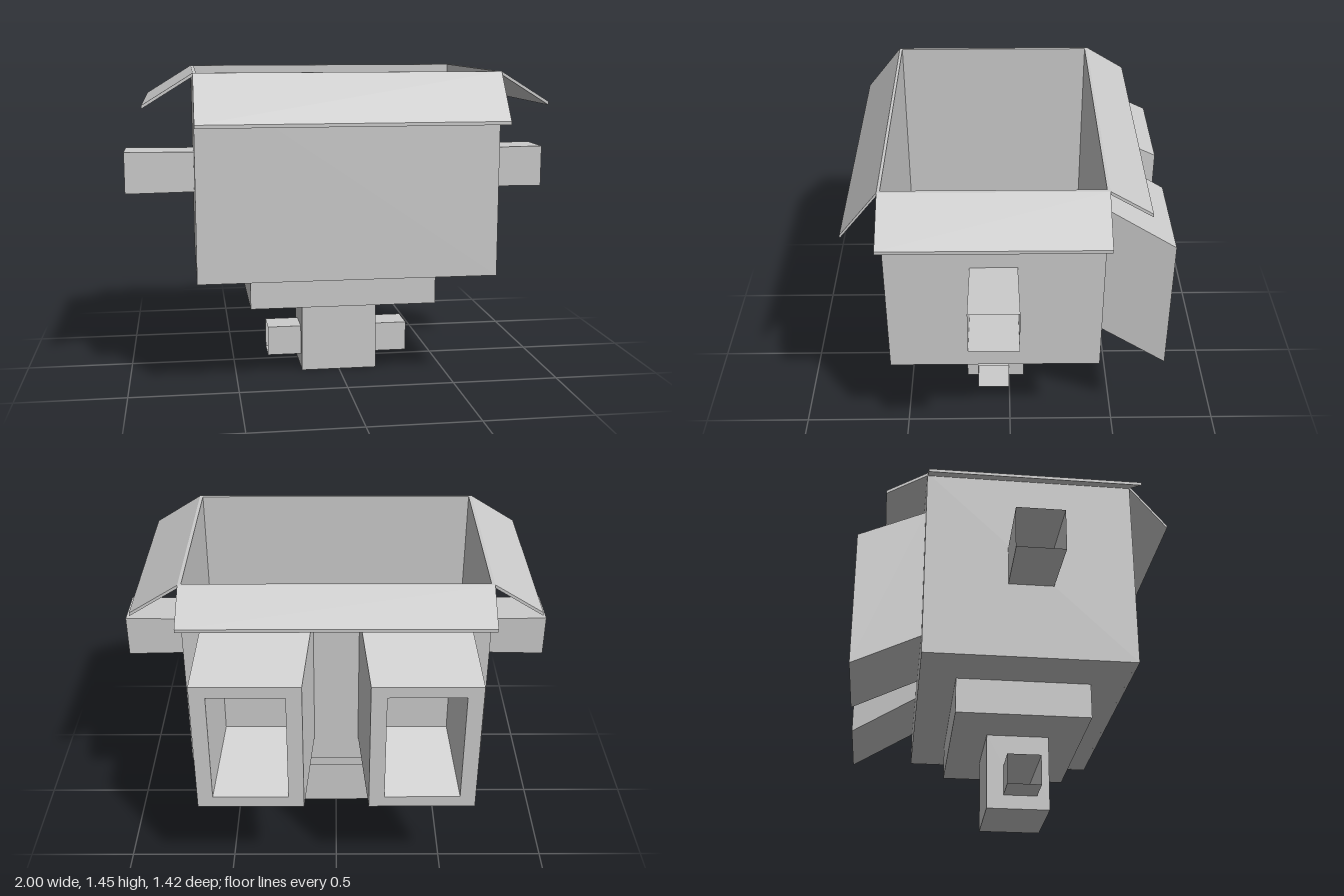
import * as THREE from 'three';

const material = new THREE.MeshStandardMaterial({ color: 0xcccccc, flatShading: true, side: THREE.DoubleSide });

function add(parent, name, geometry, x = 0, y = 0, z = 0) {
  const mesh = new THREE.Mesh(geometry, material);
  mesh.name = name;
  mesh.position.set(x, y, z);
  parent.add(mesh);
  return mesh;
}

// Closed rectangle outline from corner to corner
function rect(Type, x0, y0, x1, y1) {
  return new Type().moveTo(x0, y0).lineTo(x1, y0).lineTo(x1, y1).lineTo(x0, y1).closePath();
}

// Rectangular block pierced by a rectangular opening, running along +z
function frame(outer, inner, depth) {
  const shape = rect(THREE.Shape, ...outer);
  shape.holes.push(rect(THREE.Path, ...inner));
  return new THREE.ExtrudeGeometry(shape, { depth, bevelEnabled: false });
}

// Thin sloping panel hinged at the rim: reach outwards, drop downwards
function flap(reach, drop, length) {
  const t = 0.015;
  const shape = new THREE.Shape();
  shape.moveTo(0, 0).lineTo(0, -t).lineTo(reach, -drop - t).lineTo(reach, -drop).closePath();
  return new THREE.ExtrudeGeometry(shape, { depth: length, bevelEnabled: false }).translate(0, 0, -length / 2);
}

// Open square tube along x; the wall end is narrowed by the taper
function tube(side, length, height, width, taper) {
  const r = Math.SQRT1_2;
  return new THREE.CylinderGeometry(r, r * taper, 1, 4, 1, true)
    .rotateY(Math.PI / 4)
    .rotateZ(-side * Math.PI / 2)
    .scale(length, height, width)
    .toNonIndexed();
}

// Sheared hood with an opening, slanting down and outwards away from the wall
function hood(side) {
  const depth = 0.305;
  const geometry = frame([-0.24, 0.65, 0.24, 1.295], [-0.17, 0.705, 0.17, 1.24], depth);
  const p = geometry.attributes.position;
  for (let i = 0; i < p.count; i++) {
    const out = 1 - p.getZ(i) / depth;
    p.setX(i, p.getX(i) + side * 0.045 * out);
    p.setY(i, p.getY(i) - 0.17 * out);
  }
  geometry.computeVertexNormals();
  return geometry;
}

export function createModel() {
  const model = new THREE.Group();
  model.name = 'hopper';
  const rim = 1.447, midZ = 0.07;

  // Open bin: four walls and a floor
  const walls = frame([-0.68, -0.475, 0.68, 0.475], [-0.665, -0.462, 0.665, 0.462], rim - 0.52);
  add(model, 'binWalls', walls.rotateX(-Math.PI / 2), 0, 0.52, midZ);
  add(model, 'binFloor', new THREE.BoxGeometry(1.35, 0.015, 0.94), 0, 0.5276, midZ);

  // Flaps around the rim
  add(model, 'frontFlap', flap(0.168, 0.208, 1.36), 0, rim, 0.545).rotation.y = -Math.PI / 2;
  add(model, 'backFlap', flap(0.184, 0.112, 1.36), 0, rim, -0.405).rotation.y = Math.PI / 2;
  add(model, 'leftFlap', flap(0.22, 0.136, 0.95), 0.68, rim, midZ);
  add(model, 'rightFlap', flap(0.22, 0.136, 0.95), -0.68, rim, midZ).rotation.y = Math.PI;

  // Stepped base; the foot is pierced from side to side
  add(model, 'neck', new THREE.BoxGeometry(0.87, 0.165, 0.615), 0, 0.4375, 0.0675);
  const foot = frame([-0.215, 0, 0.075, 0.355], [-0.157, 0.065, -0.002, 0.205], 0.36);
  add(model, 'foot', foot.translate(0, 0, -0.18).rotateY(Math.PI / 2));

  // Paired side tubes and back hoods
  for (const side of [1, -1]) {
    const label = side > 0 ? 'left' : 'right';
    add(model, label + 'UpperTube', tube(side, 0.32, 0.195, 0.215, 0.96), side * 0.84, 0.973, 0.073);
    add(model, label + 'LowerTube', tube(side, 0.16, 0.14, 0.155, 1), side * 0.26, 0.135, 0.0795);
    add(model, label + 'Hood', hood(side), side * 0.341, 0, -0.71);
  }
  return model;
}
